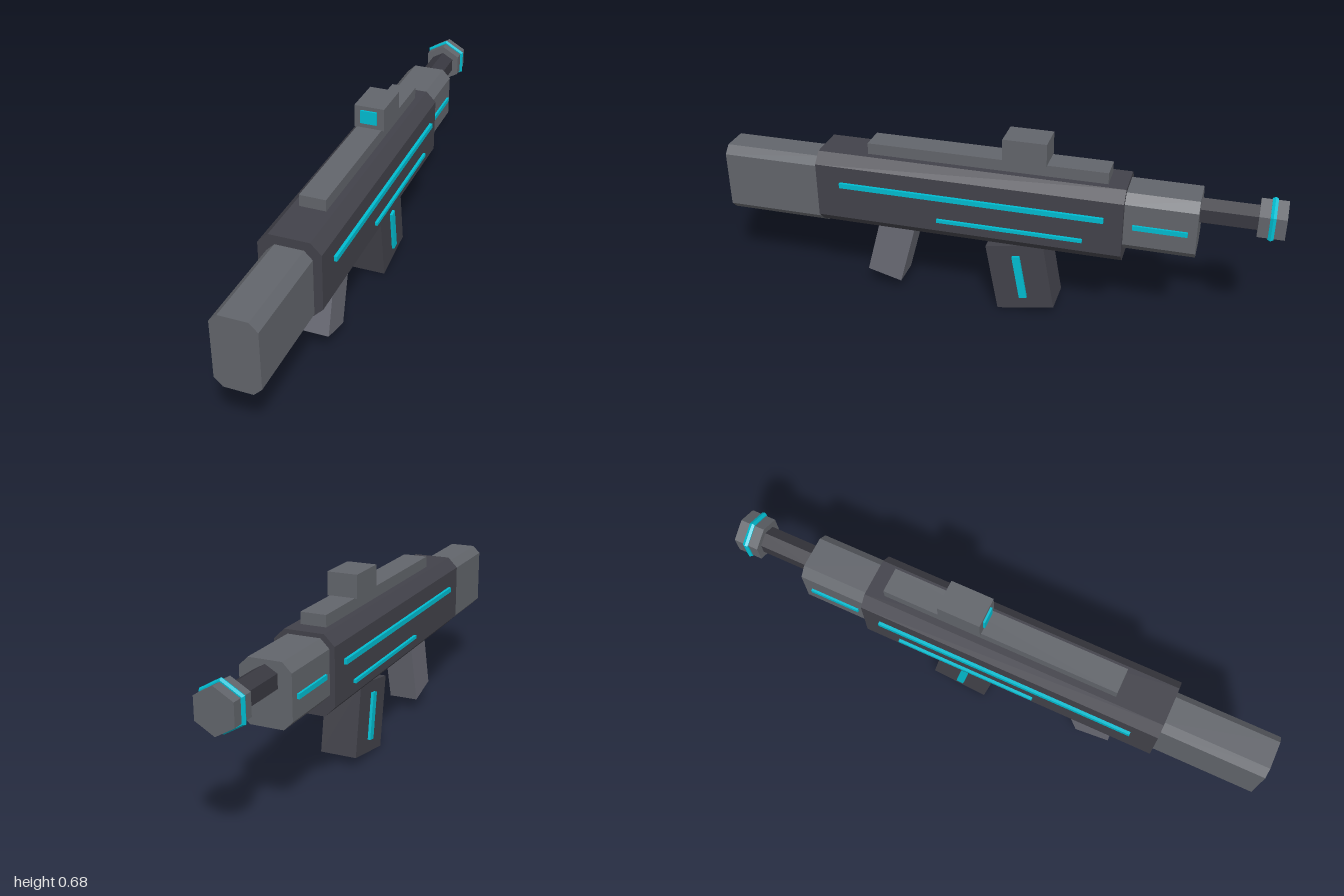
import * as THREE from 'three';

const mat = (name, color) => {
  const m = new THREE.MeshStandardMaterial({ color });
  m.name = name;
  return m;
};

export function createModel() {
  const grey = mat('steel grey', 0x62656b);
  const gripGrey = mat('grip grey', 0x696a74);
  const dark = mat('body dark grey', 0x42424a);
  const darker = mat('barrel dark grey', 0x383840);
  const cyan = mat('glow cyan', 0x00bcd0);
  const group = new THREE.Group();

  const add = (name, geometry, material, x = 0, y = 0, z = 0, tilt = 0) => {
    const mesh = new THREE.Mesh(geometry, material);
    mesh.name = name;
    mesh.position.set(x, y, z);
    mesh.rotation.x = tilt;
    group.add(mesh);
    return mesh;
  };
  // Box given by its size and centre
  const box = (name, material, w, h, d, x, y, z, tilt) =>
    add(name, new THREE.BoxGeometry(w, h, d), material, x, y, z, tilt);

  // Chamfered block running along z: half width, bottom, top, chamfer, z range
  const hull = (name, material, w, y0, y1, c, z0, z1) => {
    const shape = new THREE.Shape([
      [w - c, y0], [w, y0 + c], [w, y1 - c], [w - c, y1],
      [c - w, y1], [-w, y1 - c], [-w, y0 + c], [c - w, y0],
    ].map(([x, y]) => new THREE.Vector2(x, y)));
    const g = new THREE.ExtrudeGeometry(shape, { depth: z1 - z0, bevelEnabled: false });
    add(name, g, material, 0, 0, z0);
  };

  // Six-sided bar along z with a corner pointing up
  const hexBar = (name, material, r, z0, z1) => {
    const g = new THREE.CylinderGeometry(r, r, z1 - z0, 6).toNonIndexed();
    g.rotateX(Math.PI / 2);
    g.computeVertexNormals();
    add(name, g, material, 0, 0.478, (z0 + z1) / 2);
  };

  // Main blocks
  hull('stock', grey, 0.077, 0.264, 0.523, 0.028, 0.62, 1);
  hull('body', dark, 0.107, 0.28, 0.555, 0.037, -0.475, 0.63);
  hull('handguard', grey, 0.089, 0.325, 0.54, 0.031, -0.72, -0.47);

  // Barrel, muzzle and glowing ring
  hexBar('barrel', darker, 0.048, -0.92, -0.715);
  hexBar('muzzle', grey, 0.075, -1, -0.91);
  const ring = new THREE.TorusGeometry(0.074, 0.011, 6, 6).toNonIndexed();
  ring.rotateZ(Math.PI / 6);
  ring.computeVertexNormals();
  add('muzzleRing', ring, cyan, 0, 0.478, -0.955);

  // Top rail and sight
  box('rail', grey, 0.092, 0.05, 0.86, 0, 0.571, 0.02);
  box('sight', grey, 0.11, 0.083, 0.155, 0, 0.636, -0.121);
  box('sightLens', cyan, 0.06, 0.048, 0.02, 0, 0.639, -0.046);

  // Rear grip and magazine
  box('grip', gripGrey, 0.11, 0.235, 0.132, 0, 0.174, 0.38, -0.262);
  box('magazine', dark, 0.134, 0.26, 0.212, 0, 0.1465, -0.113, 0.175);

  // Glowing strips on both sides
  for (const s of [-1, 1]) {
    box('upperStrip', cyan, 0.02, 0.018, 0.95, s * 0.108, 0.45, 0.065);
    box('lowerStrip', cyan, 0.02, 0.012, 0.52, s * 0.107, 0.36, -0.08);
    box('handguardStrip', cyan, 0.016, 0.017, 0.185, s * 0.089, 0.428, -0.598);
    box('magazineStrip', cyan, 0.02, 0.17, 0.028, s * 0.067, 0.149, -0.113, 0.175);
  }
  return group;
}
